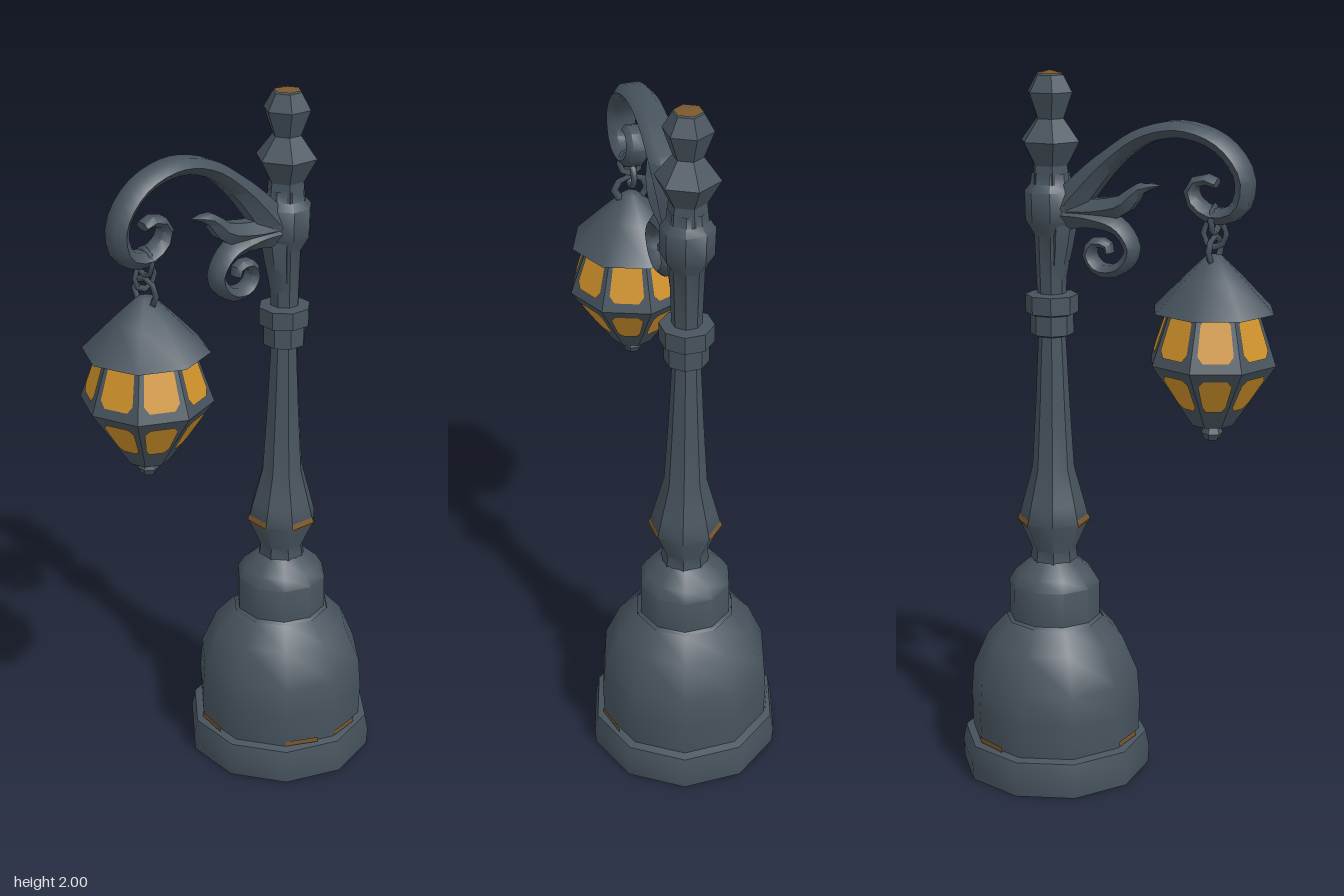
import * as THREE from 'three';
import { toCreasedNormals } from 'three/addons/utils/BufferGeometryUtils.js';

const POST_X = 0.195, LAMP_X = -0.28;

const iron = new THREE.MeshStandardMaterial({ name: 'iron', color: 0x47535d });
const glass = new THREE.MeshStandardMaterial({ name: 'amberGlass', color: 0xd0922a });
const rust = new THREE.MeshStandardMaterial({ name: 'rust', color: 0x79582f });

function addMesh(parent, name, geometry, material) {
  const mesh = new THREE.Mesh(geometry, material);
  mesh.name = name;
  parent.add(mesh);
  return mesh;
}

// Turned part from [radius, height] pairs, bottom to top
function turned(profile, sides, start = 0, length = Math.PI * 2, crease = 0.75) {
  const pts = profile.map(([r, y]) => new THREE.Vector2(r, y));
  return toCreasedNormals(new THREE.LatheGeometry(pts, sides, start, length), crease);
}

// Tapered bar following a flat curve in the xy plane
function sweep(path, radii, depths, steps) {
  const curve = new THREE.CatmullRomCurve3(path.map(([x, y]) => new THREE.Vector3(x, y, 0)));
  const sides = 6, pos = [], index = [];
  const along = (list, t) => {
    const f = t * (list.length - 1), i = Math.min(Math.floor(f), list.length - 2);
    return THREE.MathUtils.lerp(list[i], list[i + 1], f - i);
  };
  for (let i = 0; i <= steps; i++) {
    const t = i / steps, p = curve.getPointAt(t), d = curve.getTangentAt(t);
    const r = along(radii, t), w = along(depths, t);
    for (let j = 0; j < sides; j++) {
      const a = (j + 0.5) / sides * Math.PI * 2, c = Math.cos(a) * r;
      pos.push(p.x - d.y * c, p.y + d.x * c, Math.sin(a) * w);
      if (i === steps) continue;
      const k = i * sides + j, n = i * sides + (j + 1) % sides;
      index.push(k, n, k + sides, n, n + sides, k + sides);
    }
  }
  // end caps
  const last = steps * sides;
  for (let j = 1; j < sides - 1; j++) {
    index.push(0, j + 1, j, last, last + j, last + j + 1);
  }
  const g = new THREE.BufferGeometry();
  g.setAttribute('position', new THREE.Float32BufferAttribute(pos, 3));
  g.setIndex(index);
  return toCreasedNormals(g, 0.9);
}

// Chamfered pane lying on one face of an eight-sided cone band
function pane(k, r0, y0, r1, y1, v0, v1) {
  const corner = (r, y, a) => new THREE.Vector3(Math.sin(a) * r, y, Math.cos(a) * r);
  const a0 = k * Math.PI / 4, a1 = a0 + Math.PI / 4;
  const A = corner(r0, y0, a0), B = corner(r0, y0, a1);
  const C = corner(r1, y1, a1), D = corner(r1, y1, a0);
  const normal = B.clone().sub(A).cross(D.clone().sub(A)).normalize();
  const m = 0.12, q = 0.12, h = (v1 - v0) * 0.16;
  const outline = [
    [m + q, v0], [1 - m - q, v0], [1 - m, v0 + h], [1 - m, v1 - h],
    [1 - m - q, v1], [m + q, v1], [m, v1 - h], [m, v0 + h],
  ].map(([u, v]) => A.clone().lerp(B, u).lerp(D.clone().lerp(C, u), v).addScaledVector(normal, 0.003));
  const g = new THREE.BufferGeometry().setFromPoints(outline);
  g.setIndex([0, 1, 2, 0, 2, 3, 0, 3, 4, 0, 4, 5, 0, 5, 6, 0, 6, 7]);
  g.computeVertexNormals();
  return g;
}

function buildPost() {
  const post = new THREE.Group();
  post.name = 'post';
  post.position.x = POST_X;
  const flat = Math.PI / 8;

  // plinth and bell-shaped foot
  addMesh(post, 'plinth', turned([[0, 0], [0.272, 0], [0.275, 0.05], [0.265, 0.1], [0.225, 0.112]], 10), iron);
  addMesh(post, 'bellBase', turned([[0.243, 0.09], [0.247, 0.2], [0.24, 0.29], [0.195, 0.395], [0.14, 0.455]], 10), iron);
  addMesh(post, 'neck', turned([[0.14, 0.45], [0.13, 0.46], [0.13, 0.56], [0.112, 0.59], [0.066, 0.63]], 10), iron);

  // column, collar and head
  addMesh(post, 'column', turned([
    [0.068, 0.62], [0.063, 0.66], [0.1, 0.745], [0.086, 0.8], [0.059, 0.9], [0.048, 1.08], [0.037, 1.3],
  ], 8, flat), iron);
  addMesh(post, 'collar', turned([
    [0.03, 1.275], [0.06, 1.285], [0.06, 1.34], [0.073, 1.345], [0.073, 1.395], [0.035, 1.4],
  ], 8, flat), iron);
  addMesh(post, 'upperColumn', turned([
    [0.04, 1.38], [0.046, 1.56], [0.07, 1.6], [0.072, 1.68], [0.055, 1.7], [0.052, 1.73],
  ], 8, flat), iron);
  addMesh(post, 'finial', turned([
    [0.055, 1.7], [0.05, 1.75], [0.086, 1.815], [0.04, 1.875], [0.066, 1.945], [0.04, 1.99], [0, 2],
  ], 6, Math.PI / 2, Math.PI * 2, 0.5), iron);

  // worn patches
  addMesh(post, 'finialWear', turned([[0.038, 1.994], [0, 2.003]], 6, Math.PI / 2), rust);
  for (const k of [0, 3, 6]) {
    addMesh(post, 'columnWear', turned([[0.097, 0.735], [0.103, 0.745], [0.098, 0.76]], 1,
      -flat + k * Math.PI / 4, Math.PI / 4), rust);
  }
  for (const k of [0, 4, 7, 9]) {
    addMesh(post, 'baseWear', turned([[0.247, 0.11], [0.247, 0.125]], 1, k * Math.PI / 5, Math.PI / 8), rust);
  }
  return post;
}

function buildBracket() {
  const bracket = new THREE.Group();
  bracket.name = 'bracket';
  // large scroll carrying the lantern
  addMesh(bracket, 'mainScroll', sweep([
    [0.18, 1.6], [0.1, 1.69], [0.02, 1.77], [-0.08, 1.84], [-0.19, 1.862], [-0.3, 1.825], [-0.362, 1.74],
    [-0.345, 1.66], [-0.28, 1.64], [-0.222, 1.675], [-0.215, 1.715], [-0.25, 1.735], [-0.285, 1.725],
  ], [0.06, 0.045, 0.03, 0.025, 0.025, 0.027, 0.026, 0.022, 0.014], [0.045, 0.045, 0.044, 0.042, 0.042, 0.042, 0.04, 0.035, 0.025], 34), iron);
  // small scroll underneath
  addMesh(bracket, 'lowerScroll', sweep([
    [0.16, 1.62], [0.07, 1.615], [-0.01, 1.59], [-0.045, 1.53], [-0.01, 1.48], [0.05, 1.475],
    [0.08, 1.515], [0.06, 1.548], [0.025, 1.54], [0.022, 1.52],
  ], [0.05, 0.032, 0.023, 0.021, 0.02, 0.018, 0.012], [0.045, 0.042, 0.038, 0.034, 0.034, 0.032, 0.022], 26), iron);
  // pointed leaf between the scrolls
  addMesh(bracket, 'leaf', sweep([
    [0.14, 1.63], [0.06, 1.635], [-0.02, 1.655], [-0.07, 1.7], [-0.125, 1.71],
  ], [0.05, 0.036, 0.033, 0.022, 0.002], [0.04, 0.038, 0.036, 0.03, 0.004], 10), iron);
  // brace tapering down the post
  addMesh(bracket, 'brace', sweep([[0.165, 1.68], [0.16, 1.58], [0.17, 1.48], [0.18, 1.38]],
    [0.04, 0.036, 0.024, 0.015], [0.05, 0.045, 0.036, 0.025], 6), iron);
  return bracket;
}

function buildLantern() {
  const lantern = new THREE.Group();
  lantern.name = 'lantern';
  lantern.position.x = LAMP_X;
  const low = [0.058, 1.075], mid = [0.178, 1.25], high = [0.125, 1.4];

  addMesh(lantern, 'lanternFrame', turned([[0.03, 1.07], low, mid, high], 8, 0, Math.PI * 2, 0.5), iron);
  addMesh(lantern, 'roof', turned([[0.12, 1.392], [0.17, 1.388], [0.085, 1.475], [0.022, 1.535], [0, 1.54]], 8, 0, Math.PI * 2, 0.9), iron);
  addMesh(lantern, 'bottomKnob', turned([[0, 1.028], [0.02, 1.032], [0.03, 1.05], [0.022, 1.07], [0.05, 1.08]], 6), iron);
  addMesh(lantern, 'knobWear', turned([[0, 1.025], [0.019, 1.03]], 6), rust);

  // two rows of amber panes
  for (let k = 0; k < 8; k++) {
    addMesh(lantern, 'upperPane', pane(k, ...mid, ...high, 0.17, 0.94), glass);
    addMesh(lantern, 'lowerPane', pane(k, ...low, ...mid, 0.32, 0.88), glass);
  }

  // chain links
  const link = new THREE.TorusGeometry(0.036, 0.009, 4, 8);
  [[1.55, Math.PI / 2], [1.593, 0], [1.63, Math.PI / 2]].forEach(([y, turn], i) => {
    const m = addMesh(lantern, 'chainLink', link, iron);
    m.position.y = y;
    m.rotation.y = turn;
    m.scale.set(i === 0 ? 1.3 : 0.9, 1, 1);
  });
  return lantern;
}

export function createModel() {
  const model = new THREE.Group();
  model.name = 'streetLamp';
  model.add(buildPost(), buildBracket(), buildLantern());
  return model;
}
